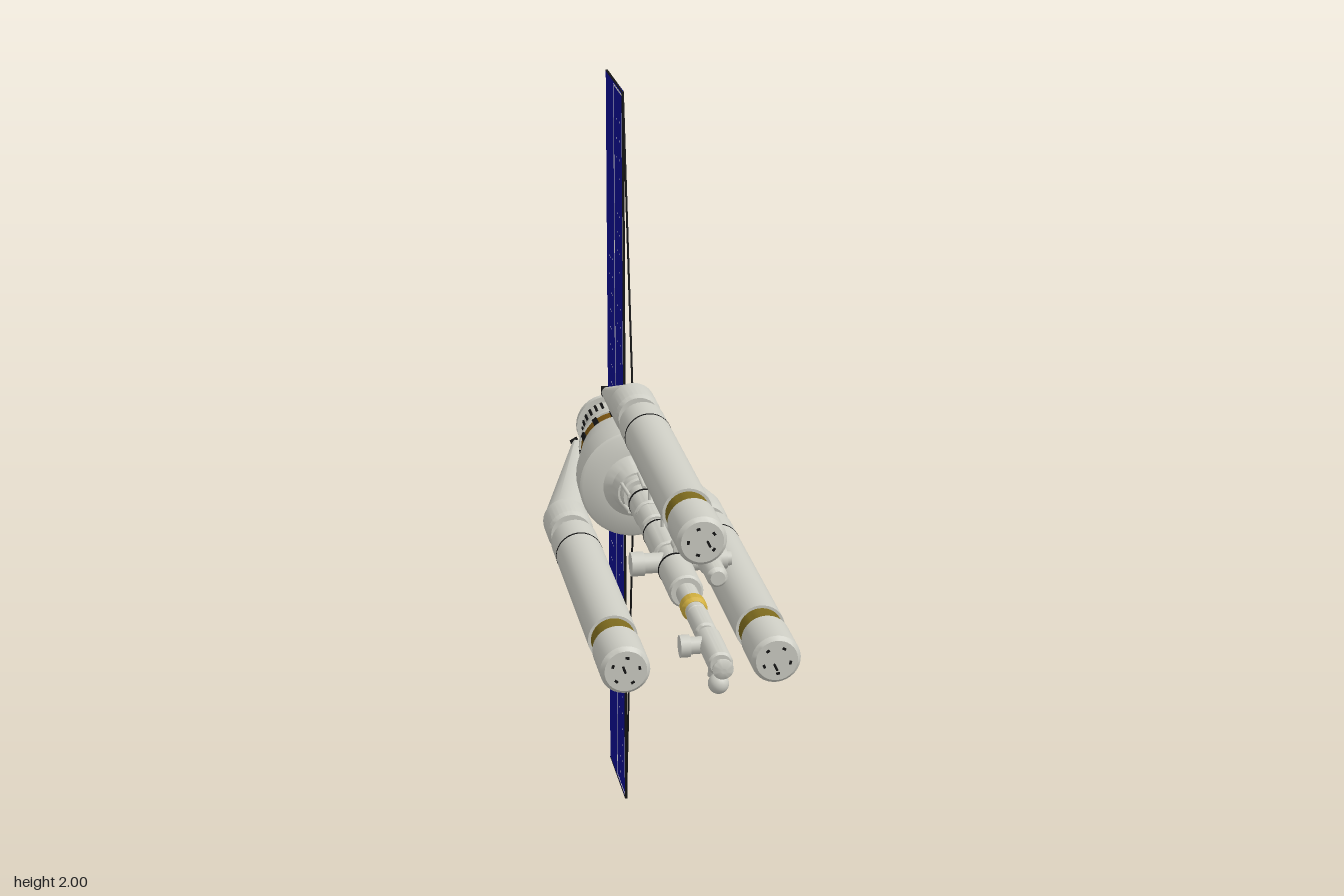
import * as THREE from 'three';
import { mergeGeometries, toCreasedNormals } from 'three/addons/utils/BufferGeometryUtils.js';

const paint = (name, color) => Object.assign(new THREE.MeshStandardMaterial({ color }), { name });

export function createModel() {
  const hull = paint('hullGrey', 0xcdcdc4);
  const brass = paint('brass', 0x7d6a1e);
  const bronze = paint('bronze', 0x7a5410);
  const gold = paint('gold', 0xd2b040);
  const black = paint('black', 0x141414);
  const blue = paint('solarBlue', 0x0c0c90);
  const trim = paint('trim', 0xd8d8d8);

  const root = new THREE.Group();
  const ship = new THREE.Group();
  ship.name = 'ship';
  ship.position.y = 1;
  root.add(ship);

  const add = (parent, name, geo, mat, x = 0, y = 0, z = 0) => {
    const m = new THREE.Mesh(geo, mat);
    m.name = name;
    m.position.set(x, y, z);
    parent.add(m);
    return m;
  };
  // Turned body along z from [z, radius] pairs listed back to front
  const turned = (pairs, sides = 32) => toCreasedNormals(
    new THREE.LatheGeometry(pairs.map(([z, r]) => new THREE.Vector2(r, z)), sides).rotateX(Math.PI / 2), 0.5);
  const drum = (z0, z1, r, sides = 32) => turned([[z0, 0], [z0, r], [z1, r], [z1, 0]], sides);
  const box = (w, h, d, x = 0, y = 0, z = 0) => new THREE.BoxGeometry(w, h, d).translate(x, y, z);
  // Round bar between two points
  const bar = (a, b, r, sides = 8) => {
    const p = new THREE.Vector3(...a), q = new THREE.Vector3(...b), d = q.clone().sub(p);
    return new THREE.CylinderGeometry(r, r, d.length(), sides)
      .applyQuaternion(new THREE.Quaternion().setFromUnitVectors(new THREE.Vector3(0, 1, 0), d.normalize()))
      .translate((p.x + q.x) / 2, (p.y + q.y) / 2, (p.z + q.z) / 2);
  };
  // Copies of a geometry spread around the z axis
  const ring = (n, make, offset = 0) => mergeGeometries(
    Array.from({ length: n }, (_, i) => make().rotateZ(offset + i * Math.PI * 2 / n)));

  // Three tanks with tapering arms to the stern
  for (let i = 0; i < 3; i++) {
    const arm = new THREE.Group();
    arm.name = 'tankArm' + (i + 1);
    arm.rotation.z = i * Math.PI * 2 / 3;
    ship.add(arm);
    const pod = new THREE.Group();
    pod.name = 'tank';
    pod.position.y = 0.206;
    arm.add(pod);
    add(pod, 'noseCap', turned([[0.44, 0], [0.44, 0.052], [0.45, 0.059], [0.57, 0.059], [0.58, 0.05], [0.58, 0]]), hull);
    add(pod, 'frontBand', drum(0.385, 0.445, 0.053), brass);
    add(pod, 'tankBody', turned([[-0.255, 0], [-0.255, 0.05], [-0.245, 0.06], [0.39, 0.06], [0.39, 0]]), hull);
    add(pod, 'blackBand', drum(-0.153, -0.147, 0.0606), black);
    add(pod, 'rearBand', drum(-0.30, -0.25, 0.036), brass);
    add(pod, 'bandRibs', ring(8, () => box(0.006, 0.006, 0.055, 0, 0.038, -0.275)), hull);
    add(pod, 'neckRing', drum(-0.262, -0.252, 0.043), hull);
    add(pod, 'collar', turned([[-0.40, 0], [-0.40, 0.06], [-0.31, 0.06], [-0.297, 0.053], [-0.297, 0]]), hull);
    add(pod, 'probe', bar([0.012, 0, 0.57], [0.012, 0, 0.61], 0.003), black);
    add(pod, 'noseHatches', ring(5, () => box(0.009, 0.006, 0.002, 0, 0.033, 0.5805), 0.3), black);
    // Slanted arm: a cone sheared toward the axis
    const taper = turned([[-0.435, 0], [-0.435, 0.015], [0, 0.06], [0, 0]]);
    taper.applyMatrix4(new THREE.Matrix4().set(1, 0, 0, 0, 0, 1, 0.25, 0, 0, 0, 1, 0, 0, 0, 0, 1));
    add(pod, 'taperedArm', toCreasedNormals(taper, 0.5), hull, 0, 0, -0.395);
    add(arm, 'sternClamp', box(0.03, 0.022, 0.024, 0, 0.1, -0.832), black);
  }

  // Stern hub
  add(ship, 'hubCone', turned([[-0.605, 0], [-0.605, 0.106], [-0.46, 0.141], [-0.365, 0.145], [-0.36, 0.138],
    [-0.352, 0.085], [-0.335, 0.065], [-0.30, 0.055], [-0.30, 0]], 48), hull);
  add(ship, 'hubBand', drum(-0.665, -0.6, 0.098), bronze);
  add(ship, 'hubBandRibs', ring(12, () => box(0.014, 0.008, 0.062, 0, 0.099, -0.632), 0.13), black);
  add(ship, 'hubBandRim', drum(-0.672, -0.662, 0.103), hull);
  add(ship, 'hubTail', turned([[-0.84, 0], [-0.84, 0.068], [-0.765, 0.07], [-0.76, 0.078], [-0.665, 0.098], [-0.665, 0]]), hull);
  add(ship, 'tailSlots', ring(24, () => box(0.007, 0.006, 0.055, 0, 0.069, -0.798)), black);
  add(ship, 'sternCap', turned([[-0.857, 0], [-0.857, 0.077], [-0.85, 0.084], [-0.832, 0.084], [-0.832, 0]]), hull);
  const nozzle = (r) => drum(-0.859, -0.855, r, 16);
  add(ship, 'nozzles', mergeGeometries([nozzle(0.015),
    ring(6, () => nozzle(0.011).translate(0, 0.035, 0)), ring(12, () => nozzle(0.009).translate(0, 0.062, 0))]), black);

  // Central spine of modules, [z0, z1, radius]
  const spine = [[-0.31, -0.27, 0.05], [-0.27, -0.215, 0.036], [-0.215, -0.13, 0.04], [-0.125, -0.04, 0.037],
    [-0.13, 0.02, 0.027], [0, 0.15, 0.04], [0.15, 0.235, 0.033], [0.235, 0.38, 0.042], [0.38, 0.46, 0.026],
    [0.49, 0.52, 0.024], [0.52, 0.63, 0.026], [0.63, 0.66, 0.018], [0.65, 0.805, 0.029]];
  spine.forEach(([a, b, r], i) => add(ship, 'spineModule' + (i + 1),
    turned([[a, 0], [a, r - 0.005], [a + 0.005, r], [b - 0.005, r], [b, r - 0.005], [b, 0]], 24), hull));
  add(ship, 'goldRing', turned([[0.45, 0], [0.45, 0.026], [0.46, 0.031], [0.485, 0.031], [0.495, 0.025], [0.495, 0]]), gold);
  add(ship, 'spineSeams', mergeGeometries([drum(-0.218, -0.213, 0.041), drum(-0.002, 0.002, 0.0405), drum(0.233, 0.237, 0.043)]), black);
  add(ship, 'neckStruts', ring(6, () => bar([0, 0.055, -0.335], [0, 0.043, -0.22], 0.005)), hull);

  // Side modules
  add(ship, 'sidePod', turned([[0.07, 0], [0.07, 0.018], [0.078, 0.026], [0.15, 0.026], [0.155, 0.03], [0.215, 0.03],
    [0.22, 0.026], [0.30, 0.026], [0.31, 0.018], [0.31, 0]], 24), hull, 0.09);
  add(ship, 'crossTube', bar([-0.08, 0, 0.185], [0.135, 0, 0.185], 0.025, 20), hull);
  add(ship, 'crossTubeEnds', mergeGeometries([bar([-0.102, 0, 0.185], [-0.07, 0, 0.185], 0.03, 20),
    bar([0.13, 0, 0.185], [0.146, 0, 0.185], 0.018, 20)]), hull);

  // Boom above the spine
  add(ship, 'boom', mergeGeometries([bar([0, 0.068, 0.25], [0, 0.068, -0.34], 0.004),
    ...[0.22, 0.05, -0.14].map(z => bar([0, 0.02, z], [0, 0.068, z], 0.004))]), hull);
  add(ship, 'boomHead', drum(0.225, 0.265, 0.011, 12), hull, 0, 0.066);

  // Docking node at the bow
  add(ship, 'dockingArms', mergeGeometries([bar([0, 0, 0.69], [-0.055, 0, 0.69], 0.02, 16), bar([-0.05, 0, 0.69], [-0.073, 0, 0.69], 0.026, 16),
    bar([0, 0, 0.73], [0, -0.06, 0.73], 0.015, 16), bar([0, -0.055, 0.73], [0, -0.088, 0.73], 0.01, 12),
    bar([0, -0.01, 0.775], [0, -0.06, 0.775], 0.008, 12)]), hull);
  add(ship, 'dockingBall', new THREE.SphereGeometry(0.024, 20, 14), hull, 0, -0.057, 0.78);
  add(ship, 'bowPort', turned([[0.80, 0], [0.80, 0.014], [0.825, 0.012], [0.828, 0.024], [0.833, 0.024], [0.842, 0.006], [0.842, 0]], 20), hull);

  // Solar wings above and below
  for (const s of [1, -1]) {
    const wing = new THREE.Group();
    wing.name = s > 0 ? 'upperWing' : 'lowerWing';
    ship.add(wing);
    const mid = s * 0.54;
    add(wing, 'solarPanel', box(0.004, 0.92, 0.27, 0, mid, -0.665), blue);
    add(wing, 'panelTrim', mergeGeometries([box(0.0055, 0.905, 0.005, 0, mid, -0.667),
      box(0.0055, 0.905, 0.004, 0, mid, -0.535), box(0.0055, 0.004, 0.134, 0, s * 0.99, -0.6)]), trim);
    add(wing, 'panelEdge', box(0.006, 0.92, 0.003, 0, mid, -0.5305), black);
    add(wing, 'panelTip', box(0.006, 0.002, 0.27, 0, s * 0.999, -0.665), black);
    const dots = [];
    for (const [z, top] of [[-0.58, 0.99], [-0.62, 0.99], [-0.71, 0.53], [-0.73, 0.53], [-0.75, 0.53]])
      for (let y = 0.16; y < top; y += 0.05) dots.push(box(0.005, 0.004, 0.003, 0, s * y, z));
    add(wing, 'panelStuds', mergeGeometries(dots), trim);
    // Stay wire from the hull to the wing tip
    add(wing, 'stay', bar([0, s * (s > 0 ? 0.262 : 0.13), -0.40], [0, s * 0.995, -0.53], 0.0028, 6), black);
  }
  return root;
}
